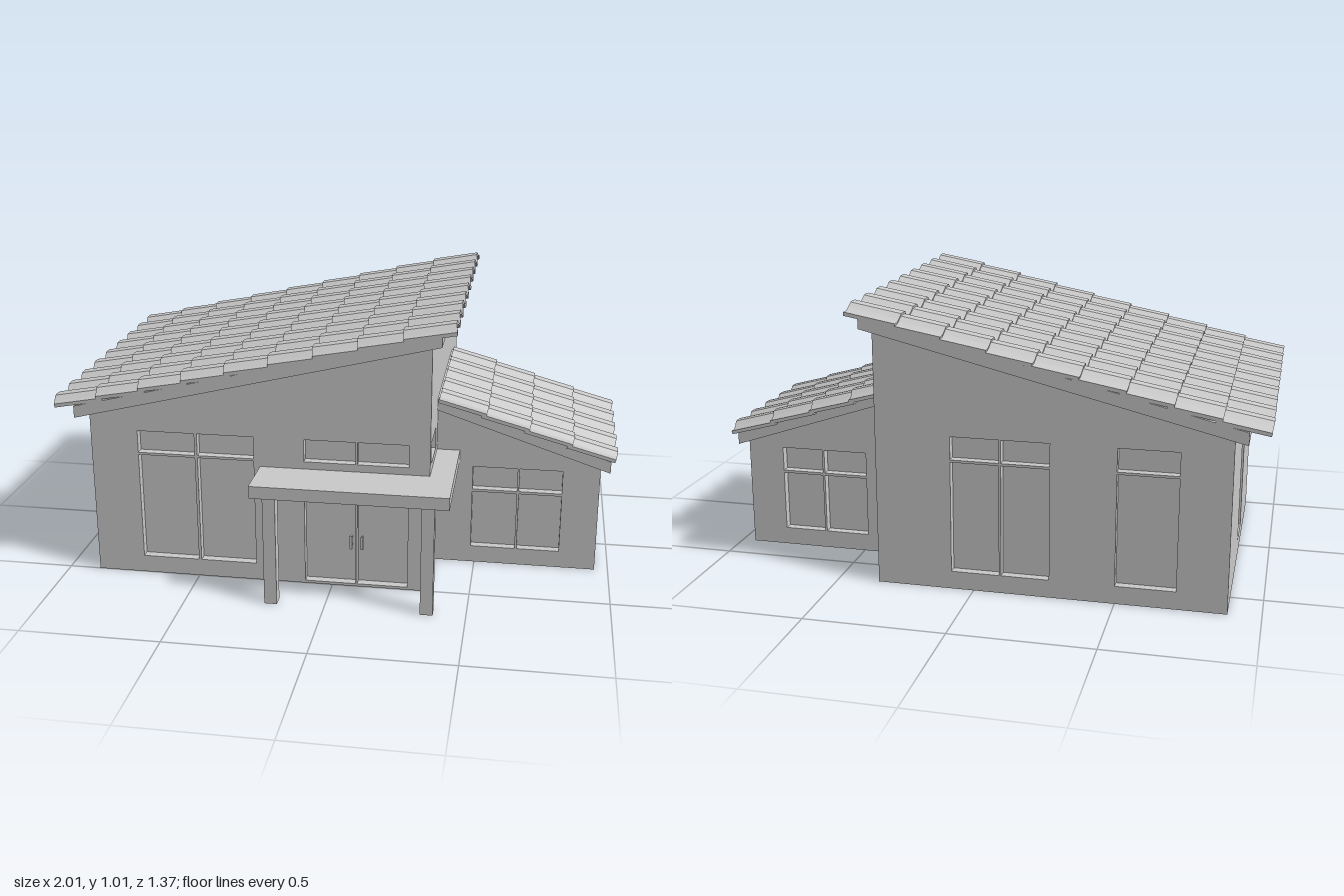
import * as THREE from 'three';

const material = new THREE.MeshStandardMaterial({ color: 0xcccccc, side: THREE.DoubleSide, flatShading: true });

function add(parent, name, geometry, x = 0, y = 0, z = 0) {
  const mesh = new THREE.Mesh(geometry, material);
  mesh.name = name;
  mesh.position.set(x, y, z);
  parent.add(mesh);
  return mesh;
}

function polygon(points) {
  return new THREE.Shape(points.map(([x, y]) => new THREE.Vector2(x, y)));
}

// Every combination of column and row spans becomes one opening
function grid(columns, rows) {
  return columns.flatMap(([x0, x1]) => rows.map(([y0, y1]) => [x0, y0, x1, y1]));
}

// Thin wall with recessed panes; drawn in its own plane, then turned and placed
function wall(parent, name, outline, openings, turn, x, z) {
  const group = new THREE.Group();
  group.name = name;
  group.rotation.y = turn;
  group.position.set(x, 0, z);
  const shape = polygon(outline);
  const depth = 0.032;
  for (const [x0, y0, x1, y1] of openings) {
    shape.holes.push(new THREE.Path([[x0, y0], [x0, y1], [x1, y1], [x1, y0]].map(p => new THREE.Vector2(...p))));
    // Box without its outer face: pane and reveals
    const recess = new THREE.BoxGeometry(x1 - x0, y1 - y0, depth);
    const index = Array.from(recess.index.array);
    index.splice(24, 6);
    recess.setIndex(index);
    recess.clearGroups();
    add(group, 'recessedPane', recess, (x0 + x1) / 2, (y0 + y1) / 2, -depth / 2);
  }
  add(group, name + 'Panel', new THREE.ShapeGeometry(shape));
  parent.add(group);
}

// Sloping roof deck with the given underside ends
function deck(parent, name, x0, y0, x1, y1, zBack, zFront) {
  const t = 0.044;
  const shape = polygon([[x0, y0], [x1, y1], [x1, y1 + t], [x0, y0 + t]]);
  add(parent, name, new THREE.ExtrudeGeometry(shape, { depth: zFront - zBack, bevelEnabled: false }), 0, 0, zBack);
}

// One corrugated course of tiles, rising along +x from the origin
function tileCourse(start, end, firstPeak, length, slope) {
  const period = 1.22 / 9, thick = 0.013, high = 0.025;
  const wave = [[start, 0]];
  for (let c = firstPeak; c < end; c += period) {
    for (const [d, h] of [[-0.055, 0], [-0.04, 0.35], [-0.022, 0.95], [0, 1], [0.022, 0.95], [0.04, 0.35], [0.055, 0]]) {
      if (c + d > start + 0.001 && c + d < end - 0.001) wave.push([c + d, h * high]);
    }
  }
  wave.push([end, 0]);
  const upper = wave.map(([u, v]) => [u, v + thick]).reverse();
  return new THREE.ExtrudeGeometry(polygon([...wave, ...upper]), { depth: length, bevelEnabled: false })
    .rotateY(Math.PI / 2)
    .rotateZ(Math.atan(slope));
}

export function createModel() {
  const house = new THREE.Group();
  house.name = 'house';
  const tall = [[0.065, 0.468], [0.477, 0.56]];
  const low = [[0.065, 0.288], [0.298, 0.388]];
  const entry = [[-0.1, 0.085], [0.092, 0.275]];
  const half = Math.PI / 2;

  // Main block
  wall(house, 'frontWall', [[-0.885, 0], [0.35, 0], [0.35, 0.921], [-0.885, 0.621]],
    [...grid([[-0.71, -0.5], [-0.49, -0.283]], tall), ...grid(entry, [[0.01, 0.365], [0.477, 0.56]])], 0, 0, 0.5);
  wall(house, 'backWall', [[-0.35, 0], [0.885, 0], [0.885, 0.621], [-0.35, 0.921]],
    grid([[-0.08, 0.092], [0.1, 0.27], [0.5, 0.71]], tall), Math.PI, 0, -0.645);
  wall(house, 'leftWall', [[-0.5, 0], [0.645, 0], [0.645, 0.921], [-0.5, 0.921]],
    grid([[-0.46, -0.29]], [[0.065, 0.34], [0.477, 0.56]]), half, 0.35, 0);
  wall(house, 'rightWall', [[-0.645, 0], [0.5, 0], [0.5, 0.621], [-0.645, 0.621]],
    grid([[-0.12, 0.055]], tall), -half, -0.885, 0);

  // Side wing
  const wingPanes = [[0.485, 0.65], [0.658, 0.815]];
  wall(house, 'wingFrontWall', [[0.35, 0], [0.95, 0], [0.95, 0.408], [0.35, 0.607]],
    grid(wingPanes, low), 0, 0, 0.23);
  wall(house, 'wingBackWall', [[-0.95, 0], [-0.35, 0], [-0.35, 0.607], [-0.95, 0.408]],
    grid(wingPanes.map(([a, b]) => [-b, -a]), low), Math.PI, 0, -0.375);
  wall(house, 'wingLeftWall', [[-0.23, 0], [0.375, 0], [0.375, 0.408], [-0.23, 0.408]],
    grid([[-0.04, 0.185]], low), half, 0.95, 0);

  // Roof decks
  deck(house, 'mainRoofDeck', -0.93, 0.61, 0.385, 0.93, -0.685, 0.535);
  deck(house, 'wingRoofDeck', 0.35, 0.607, 0.985, 0.396, -0.395, 0.245);

  // Overlapping tile courses
  const mainTile = tileCourse(-0.535, 0.685, -0.482, 0.183, 0.18);
  for (let i = 0; i < 9; i++) add(house, 'mainRoofTiles', mainTile, -1 + i * 0.157, 0.645 + i * 0.037, 0);
  const wingTile = tileCourse(-0.25, 0.417, -0.203, 0.182, 0.27)
    .applyMatrix4(new THREE.Matrix4().makeScale(-1, 1, 1));
  // Mirrored faces need their corner order reversed
  for (const attribute of Object.values(wingTile.attributes)) {
    const { array, itemSize: n } = attribute;
    for (let i = 0; i < array.length; i += 3 * n) {
      for (let k = 0; k < n; k++) [array[i + k], array[i + n + k]] = [array[i + n + k], array[i + k]];
    }
  }
  for (let i = 0; i < 4; i++) add(house, 'wingRoofTiles', wingTile, 0.998 - i * 0.157, 0.44 + i * 0.05, 0);

  // Porch canopy and posts
  add(house, 'porchCanopy', new THREE.BoxGeometry(0.695, 0.045, 0.457), 0.0875, 0.427, 0.4585);
  for (const x of [-0.192, 0.362]) {
    add(house, 'porchPost', new THREE.BoxGeometry(0.045, 0.405, 0.045), x, 0.2025, 0.657);
  }

  // Door handles
  for (const x of [0.068, 0.108]) {
    add(house, 'doorHandle', new THREE.BoxGeometry(0.009, 0.05, 0.008), x, 0.17, 0.492);
    for (const y of [0.155, 0.185]) add(house, 'handleMount', new THREE.BoxGeometry(0.006, 0.006, 0.022), x, y, 0.479);
  }
  return house;
}
